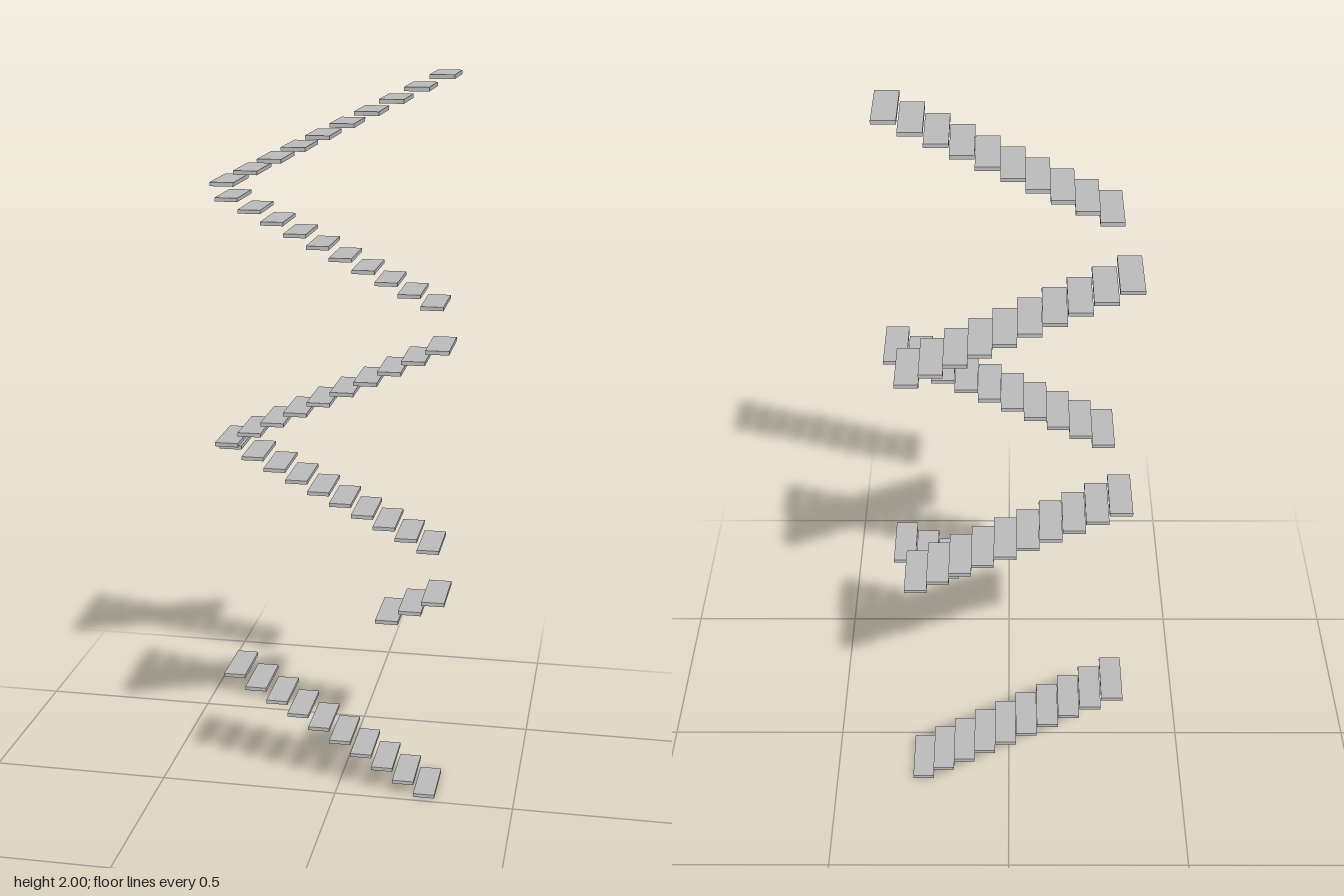
import * as THREE from 'three';

export function createModel() {
  const model = new THREE.Group();
  model.name = 'switchbackStairs';
  const concrete = new THREE.MeshStandardMaterial({ color: 0xbababa });
  concrete.name = 'light concrete grey';

  const thick = 0.01, width = 0.0598, depth = 0.162, treads = 10;
  const treadGeometry = new THREE.BoxGeometry(width, thick, depth);

  // Six flights: top heights of the lowest and highest tread, and the first tread present
  const flights = [
    { low: 0.01, high: 0.333, first: 0 },
    { low: 0.405, high: 0.67, first: 7 }, // only the upper three treads
    { low: 0.737, high: 1.002, first: 0 },
    { low: 1.07, high: 1.335, first: 0 },
    { low: 1.402, high: 1.667, first: 0 },
    { low: 1.735, high: 2.0, first: 0 },
  ];

  flights.forEach(({ low, high, first }, f) => {
    // Even flights climb toward -x at the back, odd ones toward +x at the front
    const dir = f % 2 ? 1 : -1;
    const flight = new THREE.Group();
    flight.name = `flight${f + 1}`;
    for (let i = first; i < treads; i++) {
      const tread = new THREE.Mesh(treadGeometry, concrete);
      tread.name = `tread${i + 1}`;
      const y = low + ((high - low) * i) / (treads - 1) - thick / 2;
      tread.position.set(dir * (-0.249 + i * width), y, dir * 0.1005);
      flight.add(tread);
    }
    model.add(flight);
  });
  return model;
}
